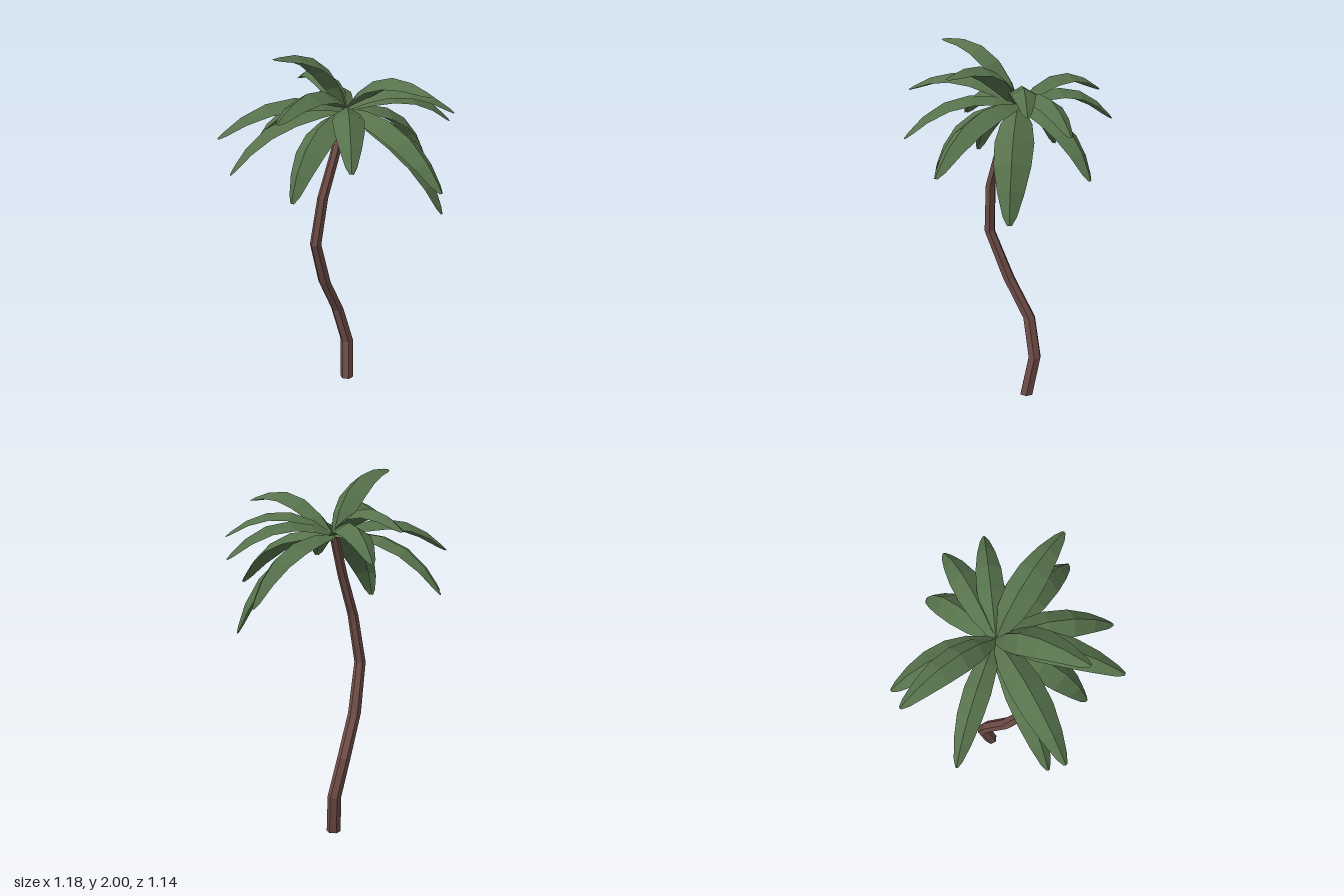
import * as THREE from 'three';

const V = (x, y, z) => new THREE.Vector3(x, y, z);

const bark = new THREE.MeshStandardMaterial({ color: 0x6f4d47, flatShading: true });
const green = new THREE.MeshStandardMaterial({ color: 0x56724c, flatShading: true, side: THREE.DoubleSide });

const CROWN = V(0.01, 1.66, -0.06);

// Trunk bend points, bottom to top: x, y, z, radius
const TRUNK = [
  [0.005, 0, -0.11, 0.039], [-0.005, 0.22, -0.155, 0.038], [-0.055, 0.44, -0.12, 0.037],
  [-0.1, 0.66, 0, 0.036], [-0.12, 0.93, 0.11, 0.032], [-0.08, 1.2, 0.1, 0.03],
  [-0.03, 1.42, 0.04, 0.028], [0.01, 1.66, -0.05, 0.025],
];

// Fronds: tip x, y, z and width factor
const FRONDS = [
  [-0.25, 1.995, 0.38, 1], [0.52, 1.825, 0.26, 1], [-0.18, 1.72, 0.565, 1], [-0.38, 1.71, -0.5, 0.9],
  [0.58, 1.65, -0.14, 0.8], [-0.24, 1.56, -0.57, 0.95], [0.53, 1.55, -0.35, 0.9], [-0.59, 1.55, 0.295, 1],
  [0.18, 1.49, 0.535, 0.95], [-0.57, 1.37, -0.24, 0.8], [0.59, 1.35, 0.31, 1.1], [-0.56, 1.33, 0.22, 0.9],
  [0.38, 1.31, -0.45, 1], [-0.16, 1.27, 0.42, 1.1], [0.55, 1.11, -0.05, 1.2],
];

// Frond outline: position along the length, half width
const OUTLINE = [[0, 0.025], [0.18, 0.07], [0.38, 0.086], [0.6, 0.08], [0.8, 0.058], [0.95, 0.03], [1, 0.01]];

// Six-sided cylinder whose rings are moved onto the bend points
function trunkGeometry() {
  const geo = new THREE.CylinderGeometry(1, 1, 1, 6, TRUNK.length - 1, false, Math.PI / 6);
  const p = geo.attributes.position;
  for (let i = 0; i < p.count; i++) {
    const [x, y, z, r] = TRUNK[Math.round((p.getY(i) + 0.5) * (TRUNK.length - 1))];
    p.setXYZ(i, x + p.getX(i) * r, y, z + p.getZ(i) * r);
  }
  geo.computeVertexNormals();
  return geo;
}

// Arched blade, folded down along a central ridge
function frondGeometry(tip, width) {
  const chord = tip.clone().sub(CROWN);
  const side = V(-chord.z, 0, chord.x).normalize();
  const up = side.clone().cross(chord).normalize();
  const mid = CROWN.clone().add(tip).multiplyScalar(0.5).addScaledVector(up, 0.25);
  const spine = new THREE.QuadraticBezierCurve3(CROWN, mid, tip);

  const points = [];
  const index = [];
  OUTLINE.forEach(([t, halfWidth], i) => {
    const w = halfWidth * width;
    const c = spine.getPoint(t);
    const n = side.clone().cross(spine.getTangent(t)).normalize();
    for (const s of [-1, 0, 1]) {
      points.push(c.clone().addScaledVector(side, s * w).addScaledVector(n, -Math.abs(s) * w * 0.6));
    }
    if (i === 0) return;
    for (const k of [0, 1]) {
      const a = (i - 1) * 3 + k, b = a + 1, d = a + 3, e = a + 4;
      index.push(a, b, d, b, e, d);
    }
  });
  const geo = new THREE.BufferGeometry().setFromPoints(points);
  geo.setIndex(index);
  geo.computeVertexNormals();
  return geo;
}

export function createModel() {
  const palm = new THREE.Group();
  palm.name = 'palmTree';

  const trunk = new THREE.Mesh(trunkGeometry(), bark);
  trunk.name = 'trunk';
  palm.add(trunk);

  const crown = new THREE.Group();
  crown.name = 'crown';
  FRONDS.forEach(([x, y, z, width], i) => {
    const frond = new THREE.Mesh(frondGeometry(V(x, y, z), width), green);
    frond.name = `frond${i + 1}`;
    crown.add(frond);
  });
  palm.add(crown);
  return palm;
}
